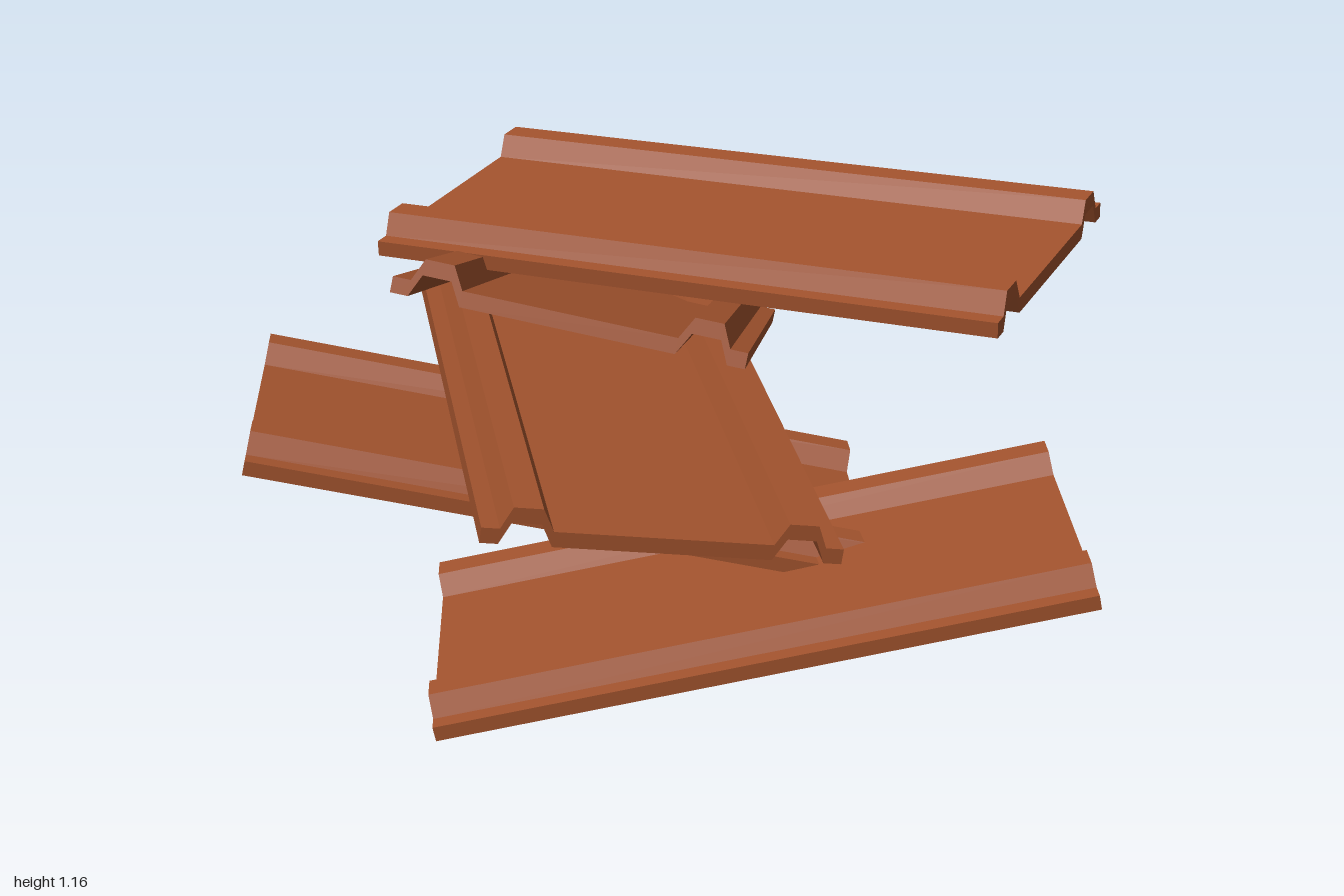
import * as THREE from 'three';

const THICK = 0.035, RISE = 0.05;

// Half of the ribbed sheet's underside, from the centre line outwards: [distance, height]
const HALF = [[0.235, 0], [0.262, RISE], [0.325, RISE], [0.348, 0], [0.387, 0]];

// Closed cross-section of a sheet with a raised rib near each long edge
function sheetShape() {
  const under = [...HALF.map(([x, y]) => [-x, y]).reverse(), ...HALF];
  const over = under.map(([x, y]) => [x, y + THICK]).reverse();
  return new THREE.Shape([...under, ...over].map(([x, y]) => new THREE.Vector2(x, y)));
}

// Sheets: underside centre of each end, and a direction across the sheet
const SHEETS = [
  { name: 'bottomSheet', from: [-0.56, 0.06, 0.215], to: [0.9, 0.365, 0.325], across: [0.025, 0.105, -0.77] },
  { name: 'leftSheet', from: [-0.995, 0.57, -0.12], to: [0.46, 0.255, -0.12], across: [0, 0.08, -0.77] },
  { name: 'middleSheet', from: [-0.215, 0.725, -0.605], to: [-0.095, 0.52, 0.86], across: [0.77, -0.095, -0.08] },
  { name: 'upperSheet', from: [-0.045, 0.68, -0.83], to: [-0.28, 0.945, 0.625], across: [0.755, -0.15, 0.145] },
  { name: 'topSheet', from: [-0.5, 1.038, -0.315], to: [0.81, 0.995, 0.405], across: [0.37, 0.115, -0.67] },
];

export function createModel() {
  const model = new THREE.Group();
  model.name = 'sheetPile';
  const rust = new THREE.MeshStandardMaterial({ color: 0xa0522d });
  rust.name = 'rustBrown';
  const shape = sheetShape();

  for (const { name, from, to, across } of SHEETS) {
    const start = new THREE.Vector3(...from);
    const along = new THREE.Vector3(...to).sub(start);
    const depth = along.length();
    along.normalize();
    const up = along.clone().cross(new THREE.Vector3(...across)).normalize();
    const side = up.clone().cross(along);

    const geometry = new THREE.ExtrudeGeometry(shape, { depth, bevelEnabled: false });
    const sheet = new THREE.Mesh(geometry, rust);
    sheet.name = name;
    sheet.quaternion.setFromRotationMatrix(new THREE.Matrix4().makeBasis(side, up, along));
    sheet.position.copy(start);
    model.add(sheet);
  }
  return model;
}
